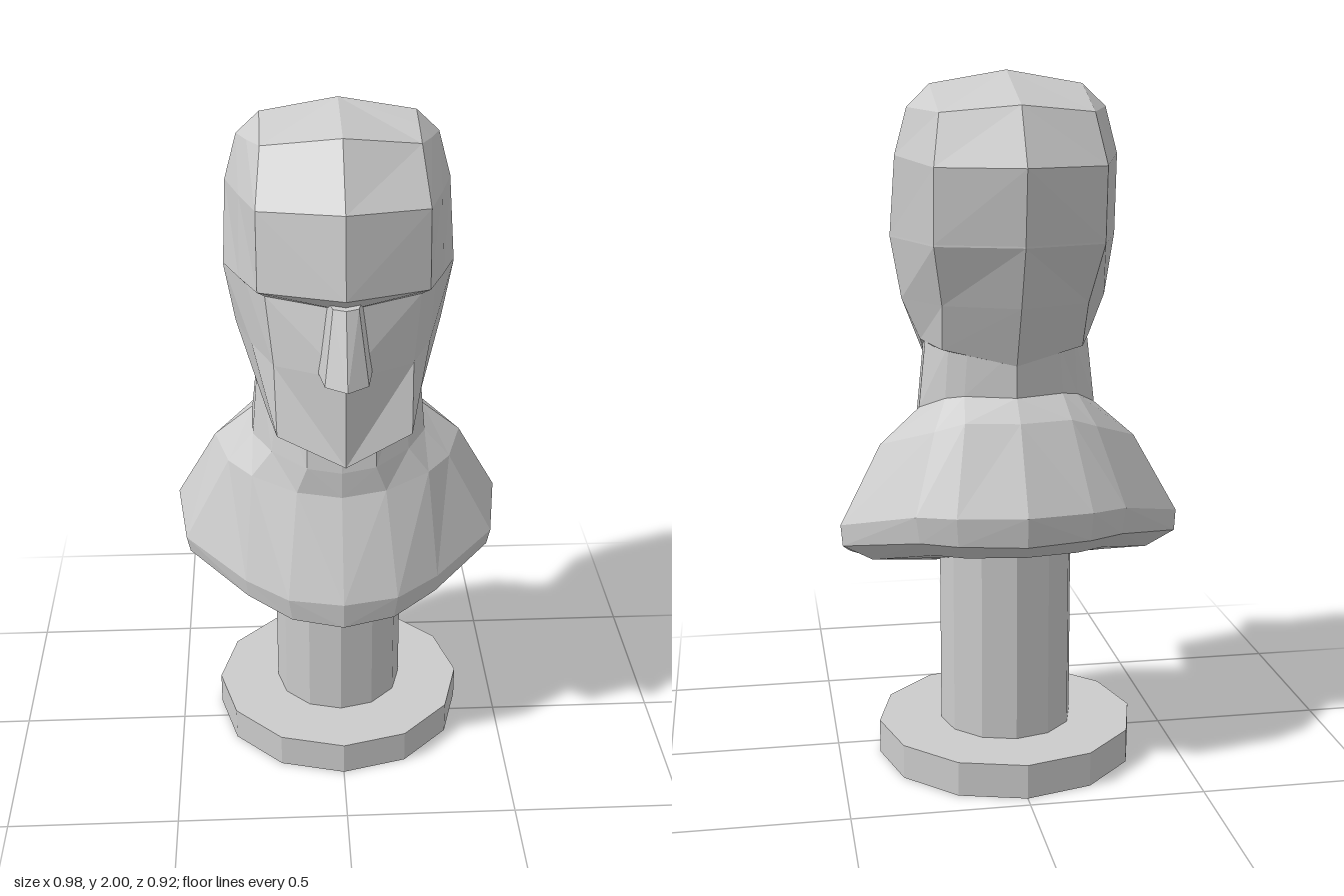
import * as THREE from 'three';

// Mirrors half a ring (front centre -> left side -> back centre) into a closed loop.
function closeRing(half) {
  const mirrored = half.slice(1, -1).reverse().map(([x, y, z]) => [-x, y, z]);
  return [...half, ...mirrored];
}

// Skins rings listed from bottom to top; optional centre points close the ends.
function loft(halfRings, bottom, top) {
  const rings = halfRings.map(closeRing);
  const n = rings[0].length;
  const pos = [];
  const tri = (a, b, c) => pos.push(...a, ...b, ...c);
  for (let j = 0; j < n; j++) {
    const k = (j + 1) % n;
    for (let i = 0; i < rings.length - 1; i++) {
      const a = rings[i][j], b = rings[i][k], c = rings[i + 1][k], d = rings[i + 1][j];
      // choose the diagonal symmetrically on both sides
      if (j < n / 2) { tri(a, b, c); tri(a, c, d); } else { tri(a, b, d); tri(b, c, d); }
    }
    if (bottom) tri(bottom, rings[0][k], rings[0][j]);
    if (top) tri(top, rings.at(-1)[j], rings.at(-1)[k]);
  }
  const g = new THREE.BufferGeometry();
  g.setAttribute('position', new THREE.Float32BufferAttribute(pos, 3));
  g.computeVertexNormals();
  return g;
}

export function createModel() {
  const group = new THREE.Group();
  const stone = new THREE.MeshStandardMaterial({ color: 0xcccccc, flatShading: true });
  stone.name = 'grey stone';
  const add = (name, geometry) => {
    const mesh = new THREE.Mesh(geometry, stone);
    mesh.name = name;
    group.add(mesh);
    return mesh;
  };

  // Stand
  add('baseDisc', new THREE.CylinderGeometry(0.38, 0.38, 0.1, 12)).position.set(0, 0.05, -0.08);
  add('column', new THREE.CylinderGeometry(0.195, 0.195, 0.57, 12)).position.set(0, 0.385, -0.083);

  // Shoulders and neck: underside, rim, shoulder slope, neck base, neck top
  add('shouldersAndNeck', loft([
    [[0, 0.505, 0.19], [0.13, 0.515, 0.16], [0.23, 0.54, 0.09], [0.37, 0.59, -0.04], [0.4, 0.635, -0.18], [0.24, 0.68, -0.31], [0.16, 0.68, -0.35], [0, 0.685, -0.39]],
    [[0, 0.52, 0.28], [0.15, 0.53, 0.245], [0.28, 0.56, 0.155], [0.455, 0.615, -0.02], [0.485, 0.68, -0.18], [0.285, 0.73, -0.355], [0.185, 0.73, -0.405], [0, 0.73, -0.445]],
    [[0, 0.6, 0.285], [0.16, 0.6, 0.25], [0.285, 0.615, 0.16], [0.465, 0.665, -0.015], [0.49, 0.74, -0.175], [0.295, 0.805, -0.355], [0.19, 0.81, -0.41], [0, 0.815, -0.455]],
    [[0, 0.89, 0.16], [0.13, 0.9, 0.14], [0.26, 0.92, 0.07], [0.33, 0.925, -0.02], [0.37, 0.96, -0.13], [0.23, 1.02, -0.26], [0.15, 1.05, -0.3], [0, 1.05, -0.33]],
    [[0, 0.97, 0.16], [0.1, 0.98, 0.145], [0.2, 1, 0.07], [0.255, 1.01, -0.03], [0.255, 1.06, -0.11], [0.19, 1.1, -0.19], [0.14, 1.11, -0.22], [0, 1.11, -0.27]],
    [[0, 1.12, 0.14], [0.1, 1.14, 0.12], [0.18, 1.19, 0.04], [0.235, 1.25, -0.06], [0.235, 1.25, -0.1], [0.18, 1.25, -0.19], [0.13, 1.25, -0.22], [0, 1.25, -0.27]],
  ], [0, 0.6, -0.1], [0, 1.25, -0.1]));

  // Head: throat, jaw, cheeks, eye sockets, brow, forehead, crown
  add('head', loft([
    [[0, 1.05, 0.13], [0.14, 1.08, 0.12], [0.19, 1.15, 0.03], [0.23, 1.24, -0.08], [0.17, 1.23, -0.19], [0, 1.2, -0.26]],
    [[0, 1.105, 0.375], [0.185, 1.175, 0.315], [0.21, 1.165, 0.14], [0.245, 1.25, -0.07], [0.2, 1.24, -0.2], [0, 1.2, -0.27]],
    [[0, 1.37, 0.375], [0.19, 1.36, 0.255], [0.25, 1.36, 0.1], [0.295, 1.365, -0.05], [0.205, 1.37, -0.25], [0, 1.37, -0.34]],
    [[0, 1.55, 0.335], [0.21, 1.55, 0.225], [0.26, 1.54, 0.11], [0.325, 1.54, -0.04], [0.235, 1.54, -0.32], [0, 1.54, -0.4]],
    [[0, 1.59, 0.375], [0.23, 1.575, 0.262], [0.28, 1.56, 0.11], [0.325, 1.545, -0.04], [0.235, 1.545, -0.32], [0, 1.545, -0.4]],
    [[0, 1.81, 0.34], [0.23, 1.79, 0.235], [0.275, 1.78, 0.07], [0.315, 1.77, -0.1], [0.235, 1.75, -0.335], [0, 1.75, -0.422]],
    [[0, 1.965, 0.185], [0.215, 1.92, 0.09], [0.25, 1.91, 0], [0.28, 1.9, -0.1], [0.212, 1.89, -0.272], [0, 1.91, -0.33]],
    [[0, 1.965, 0.185], [0.215, 1.92, 0.09], [0.215, 1.945, 0], [0.215, 1.963, -0.09], [0.212, 1.89, -0.272], [0, 1.91, -0.33]],
  ], [0, 1.15, -0.08], [0, 2, -0.09]));

  // Nose: flared wedge, wide at the nostrils
  add('nose', loft([
    [[0, 1.37, 0.46], [0.058, 1.37, 0.418], [0.072, 1.37, 0.33], [0, 1.37, 0.3]],
    [[0, 1.565, 0.375], [0.034, 1.565, 0.36], [0.045, 1.565, 0.31], [0, 1.565, 0.29]],
  ], [0, 1.37, 0.36], [0, 1.565, 0.33]));

  return group;
}
